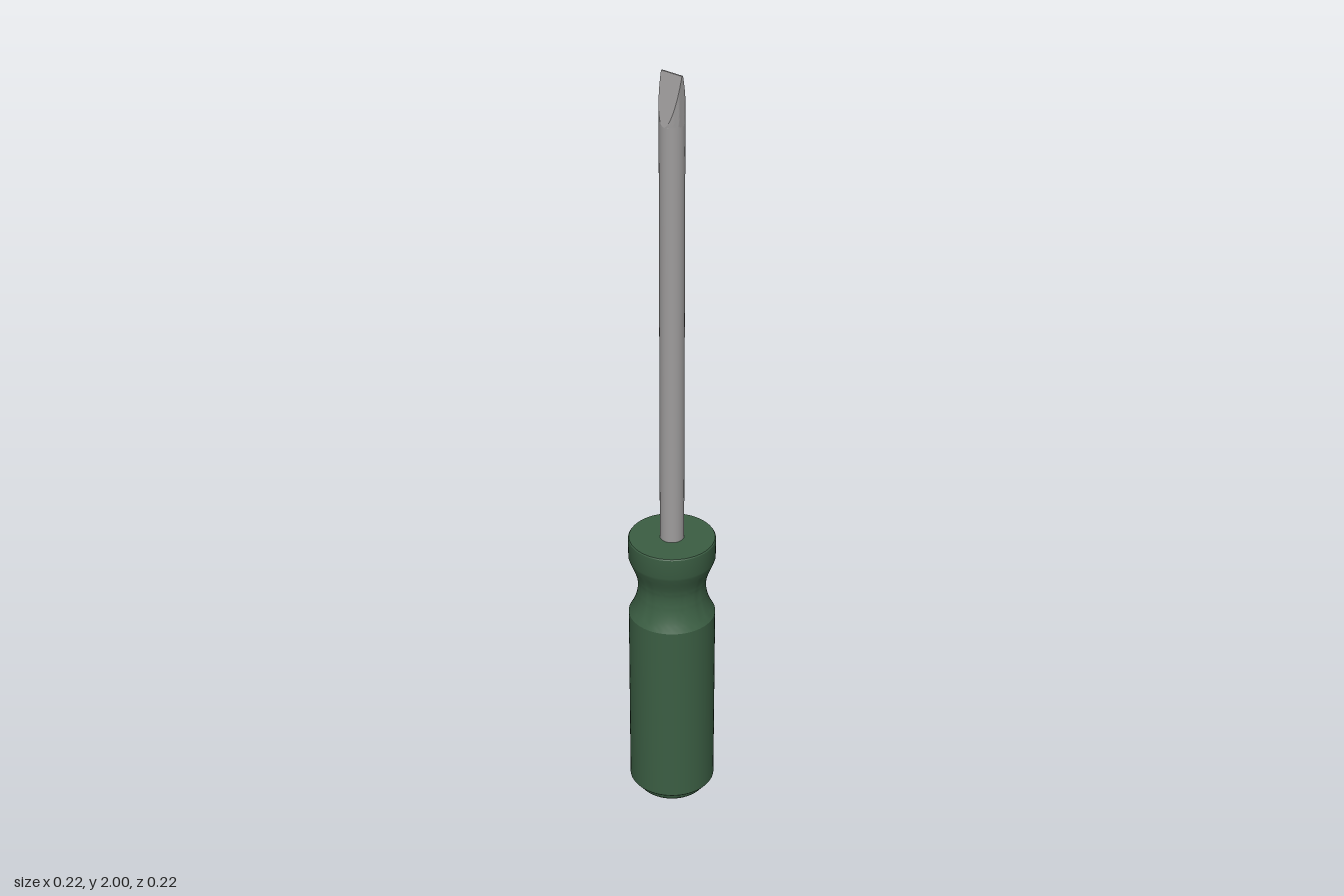
import * as THREE from 'three';
import { toCreasedNormals } from 'three/addons/utils/BufferGeometryUtils.js';

const R = 0.03;          // shaft radius
const TIP_START = 1.88;  // where the blade is ground flat
const TIP_HALF = 0.002;  // half thickness at the very end

// Triangles from quads, each quad listed counter-clockwise from outside
function quadGeometry(quads) {
  const pos = [];
  for (const [a, b, c, d] of quads) pos.push(...a, ...b, ...c, ...a, ...c, ...d);
  const g = new THREE.BufferGeometry();
  g.setAttribute('position', new THREE.Float32BufferAttribute(pos, 3));
  g.computeVertexNormals();
  return g;
}

function handleGeometry() {
  const pts = [];
  // domed butt with a rounded rim
  for (let i = 0; i <= 8; i++) {
    const r = 0.08 * i / 8;
    pts.push([r, 0.024 * (r / 0.08) ** 2]);
  }
  for (let i = 1; i <= 6; i++) {
    const a = 0.6 + (Math.PI / 2 - 0.6) * i / 6;
    pts.push([0.0693 + 0.0257 * Math.sin(a) - 0.0034 * (1 - i / 6), 0.045 - 0.0257 * Math.cos(a)]);
  }
  // small step, then the straight grip
  pts.push([0.095, 0.053], [0.106, 0.053], [0.1085, 0.056]);
  // waisted neck: sharp lower shoulder, softer upper one
  for (let i = -10; i <= 10; i++) {
    const t = i / 10;
    const k = t < 0 ? t * t : t * t * (1.5 - 0.5 * t * t);
    pts.push([0.085 + 0.0235 * k, 0.645 + 0.082 * t]);
  }
  // collar and flat top
  pts.push([0.1085, 0.78], [0.1065, 0.783], [0, 0.783]);
  return toCreasedNormals(
    new THREE.LatheGeometry(pts.map(([x, y]) => new THREE.Vector2(x, y)), 64), 0.4);
}

export function createModel() {
  const green = new THREE.MeshStandardMaterial({ color: 0x3b5e43 });
  green.name = 'handle green';
  const steel = new THREE.MeshStandardMaterial({ color: 0x9e9c9c });
  steel.name = 'steel grey';

  const model = new THREE.Group();
  model.name = 'screwdriver';
  const add = (name, geometry, material) => {
    const mesh = new THREE.Mesh(geometry, material);
    mesh.name = name;
    model.add(mesh);
  };

  add('handle', handleGeometry(), green);

  // Round shaft up to the start of the blade
  const shaft = new THREE.CylinderGeometry(R, R, TIP_START - 0.77, 48, 1, true);
  shaft.translate(0, (TIP_START + 0.77) / 2, 0);
  add('shaft', shaft, steel);

  // Blade: the round shaft cut by two sloping planes; a is the half angle
  // of the round edge left on each side
  const aMin = Math.asin(TIP_HALF / R);
  const heightAt = a => TIP_START + (2 - TIP_START) * (R - R * Math.sin(a)) / (R - TIP_HALF);
  const steps = 14, arcs = 24;
  const angle = i => Math.PI / 2 + (aMin - Math.PI / 2) * i / steps;
  const point = (a, s, turn) => {
    const t = a * s + turn;
    return [R * Math.cos(t), heightAt(a), R * Math.sin(t)];
  };
  const sides = [], flats = [];
  for (let i = 0; i < steps; i++) {
    const a = angle(i), b = angle(i + 1);
    for (const turn of [0, Math.PI]) {
      for (let j = 0; j < arcs; j++) {
        const s = -1 + 2 * j / arcs, e = -1 + 2 * (j + 1) / arcs;
        sides.push([point(a, e, turn), point(a, s, turn), point(b, s, turn), point(b, e, turn)]);
      }
      // flat ground face between the two round edges
      flats.push([point(a, -1, turn + Math.PI), point(a, 1, turn),
        point(b, 1, turn), point(b, -1, turn + Math.PI)]);
    }
  }
  // narrow end of the blade
  flats.push([point(aMin, 1, Math.PI), point(aMin, -1, Math.PI),
    point(aMin, 1, 0), point(aMin, -1, 0)]);
  add('bladeEdges', toCreasedNormals(quadGeometry(sides), 0.5), steel);
  add('bladeFlats', quadGeometry(flats), steel);

  return model;
}
